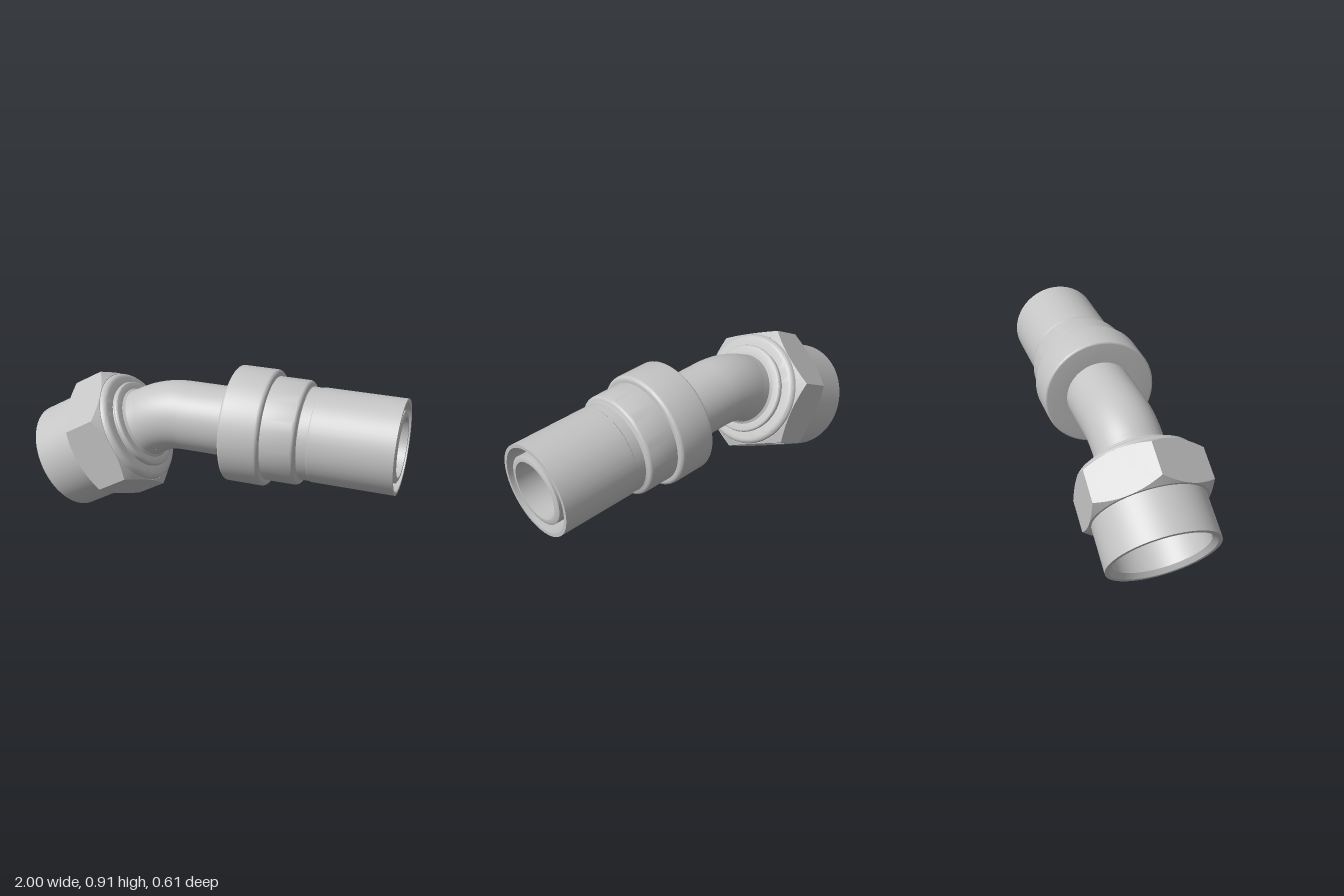
import * as THREE from 'three';
import { toCreasedNormals } from 'three/addons/utils/BufferGeometryUtils.js';

const PIPE = 0.183, BORE = 0.152, BEND = 0.4;
const FLAT = 0.307, HALF = FLAT * Math.tan(Math.PI / 6); // hex nut flat distance and half width
const NUT0 = 0.237, NUT1 = 0.475, SLOPE = 0.68;          // nut ends and chamfer slope

export function createModel() {
  const model = new THREE.Group();
  const steel = new THREE.MeshStandardMaterial({ color: 0xc4c4c4, side: THREE.DoubleSide });
  steel.name = 'light grey steel';

  const add = (parent, name, geometry) => {
    const mesh = new THREE.Mesh(geometry, steel);
    mesh.name = name;
    parent.add(mesh);
    return mesh;
  };
  // rounded profile corner, angles in degrees
  const arc = (cx, cy, r, from, to, n = 5) => Array.from({ length: n + 1 }, (_, i) => {
    const a = THREE.MathUtils.degToRad(from + (to - from) * i / n);
    return [cx + r * Math.cos(a), cy + r * Math.sin(a)];
  });
  const lathe = (points) => toCreasedNormals(
    new THREE.LatheGeometry(points.map(([r, y]) => new THREE.Vector2(r, y)), 80), 0.5);

  // straight hose end: pipe, collar, stepped ferrule, sleeve and inner tube
  const hoseEnd = new THREE.Group();
  hoseEnd.name = 'hoseEnd';
  hoseEnd.position.y = 0.607;
  hoseEnd.rotation.z = -Math.PI / 2;
  model.add(hoseEnd);
  add(hoseEnd, 'collarAndSleeve', lathe([
    [PIPE, -0.141], [PIPE, 0.13],
    ...arc(0.291, 0.142, 0.012, -90, 0), ...arc(0.283, 0.32, 0.02, 0, 90),
    [0.27, 0.34], ...arc(0.248, 0.493, 0.022, 0, 90), [0.24, 0.52],
    [0.239, 0.572], [0.243, 0.576], [0.243, 1], [0.225, 1],
    [0.225, 0.56], [0.205, 0.56], [0.205, 0.68], [0.182, 0.68],
    [0.182, 0.993], [0.168, 1], [BORE, 1], [BORE, -0.141],
  ]));

  // elbow, outside and bore
  for (const [name, radius] of [['elbow', PIPE], ['elbowBore', BORE]]) {
    const bend = add(model, name, new THREE.TorusGeometry(BEND, radius, 80, 16, Math.PI / 6));
    bend.position.set(-0.141, 0.607 - BEND, 0);
    bend.rotation.z = Math.PI / 2;
  }

  // tilted swivel end, local y runs from the open mouth towards the elbow
  const swivel = new THREE.Group();
  swivel.name = 'swivelEnd';
  swivel.position.set(-0.854, 0.257, 0);
  swivel.rotation.z = -Math.PI / 3;
  model.add(swivel);
  add(swivel, 'mouthSleeve', lathe([
    [BORE, 0.592], [BORE, 0.35], [0.25, 0.42], [0.25, 0.025], [0.272, 0],
    [0.293, 0], [0.293, NUT0], [FLAT, NUT0],
  ]));
  add(swivel, 'neckRings', lathe([
    [FLAT, NUT1], ...arc(0.275, NUT1, 0.029, 0, 90), [0.235, 0.504],
    ...arc(0.226, 0.522, 0.015, -60, 90), [0.197, 0.537], [0.185, 0.548],
    [PIPE, 0.592],
  ]));

  // hex nut: each flat has chamfered arcs at both ends
  const nut = new THREE.Group();
  nut.name = 'hexNut';
  swivel.add(nut);
  const N = 20;
  const steps = Array.from({ length: N + 1 }, (_, i) => -HALF + 2 * HALF * i / N);
  const drop = (t) => (Math.hypot(FLAT, t) - FLAT) * SLOPE;
  const chamfer = (end, dir) => {
    const pos = [], index = [];
    steps.forEach((t, i) => {
      const k = FLAT / Math.hypot(FLAT, t);
      pos.push(t, end - dir * drop(t), FLAT, t * k, end, FLAT * k);
      if (i < N) {
        const a = 2 * i, b = a + 1, c = a + 2, d = a + 3;
        index.push(...(dir > 0 ? [a, c, d, a, d, b] : [a, d, c, a, b, d]));
      }
    });
    const g = new THREE.BufferGeometry();
    g.setAttribute('position', new THREE.Float32BufferAttribute(pos, 3));
    g.setIndex(index);
    g.computeVertexNormals();
    return g;
  };
  const holeT = 0.105, holeY = 0.365, holeR = 0.034;
  for (let i = 0; i < 6; i++) {
    const side = new THREE.Group();
    side.name = 'nutSide' + (i + 1);
    side.rotation.y = i * Math.PI / 3;
    nut.add(side);
    const outline = new THREE.Shape([
      ...steps.map((t) => new THREE.Vector2(t, NUT0 + drop(t))),
      ...steps.map((t) => new THREE.Vector2(-t, NUT1 - drop(t))),
    ]);
    if (i === 2) {
      // drilled dimple in one flat
      outline.holes.push(new THREE.Path().absarc(holeT, holeY, holeR, 0, Math.PI * 2, true));
      const dimple = add(side, 'drilledHole',
        lathe([[0, -0.05], [holeR, -0.035], [holeR, 0]]));
      dimple.position.set(holeT, holeY, FLAT);
      dimple.rotation.x = Math.PI / 2;
    }
    add(side, 'nutFlat', new THREE.ShapeGeometry(outline, 24).translate(0, 0, FLAT));
    add(side, 'mouthChamfer', chamfer(NUT0, -1));
    add(side, 'neckChamfer', chamfer(NUT1, 1));
  }
  return model;
}
